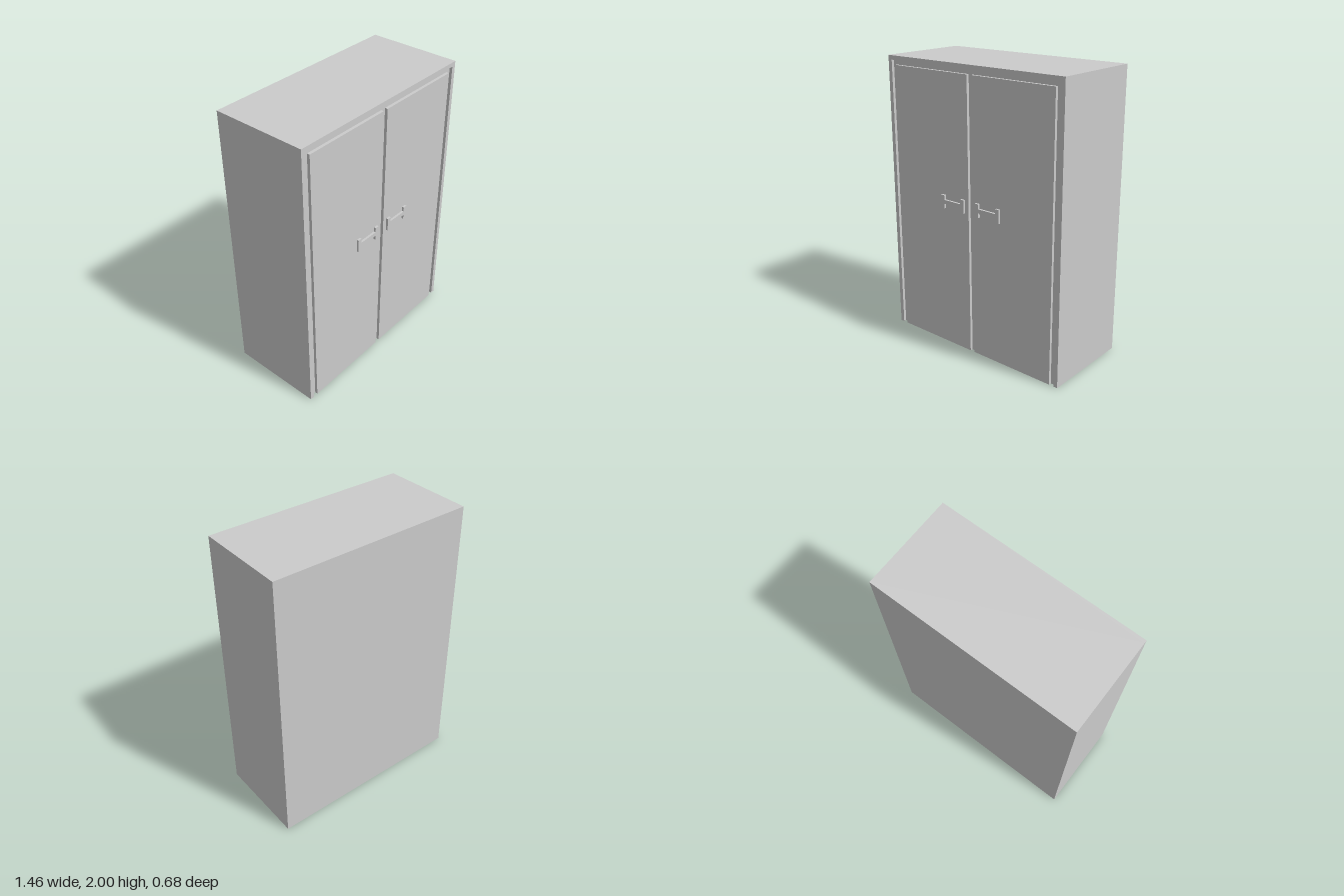
import * as THREE from 'three';

const W = 0.73, H = 2, BACK = -0.34, FRONT = 0.325, GROOVE = 0.02, HANDLE = 0.015;
const material = new THREE.MeshStandardMaterial({ color: 0xcccccc, flatShading: true });

function addMesh(parent, name, geometry, x = 0, y = 0, z = 0) {
  const mesh = new THREE.Mesh(geometry, material);
  mesh.name = name;
  mesh.position.set(x, y, z);
  parent.add(mesh);
  return mesh;
}

function extrude(points, depth) {
  const shape = new THREE.Shape(points.map(([x, y]) => new THREE.Vector2(x, y)));
  return new THREE.ExtrudeGeometry(shape, { depth, bevelEnabled: false });
}

export function createModel() {
  const group = new THREE.Group();
  group.name = 'wardrobe';

  // Solid cabinet behind the doors; its front face is the floor of the grooves
  const bodyDepth = FRONT - GROOVE - BACK;
  addMesh(group, 'cabinetBody', new THREE.BoxGeometry(2 * W, H, bodyDepth), 0, H / 2, BACK + bodyDepth / 2);

  // Thin frame around the sides and top, open at the bottom
  const inner = 0.7, innerTop = 1.97;
  addMesh(group, 'frontFrame', extrude([
    [-W, 0], [-inner, 0], [-inner, innerTop], [inner, innerTop],
    [inner, 0], [W, 0], [W, H], [-W, H],
  ], GROOVE), 0, 0, FRONT - GROOVE);

  // Handle outline: a horizontal bar with a taller block at each end
  const a = 0.102, b = 0.072, h = 0.047, t = 0.014;
  const handleGeometry = extrude([
    [-a, -h], [-b, -h], [-b, -t], [b, -t], [b, -h], [a, -h],
    [a, h], [b, h], [b, t], [-b, t], [-b, h], [-a, h],
  ], HANDLE);

  // Two doors, flush with the frame, each with its handle
  const doorIn = 0.018, doorOut = 0.665, doorTop = 1.938;
  const doorGeometry = new THREE.BoxGeometry(doorOut - doorIn, doorTop, GROOVE);
  for (const [side, label] of [[1, 'left'], [-1, 'right']]) {
    addMesh(group, `${label}Door`, doorGeometry, side * (doorIn + doorOut) / 2, doorTop / 2, FRONT - GROOVE / 2);
    addMesh(group, `${label}Handle`, handleGeometry, side * 0.152, 1.064, FRONT);
  }
  return group;
}
